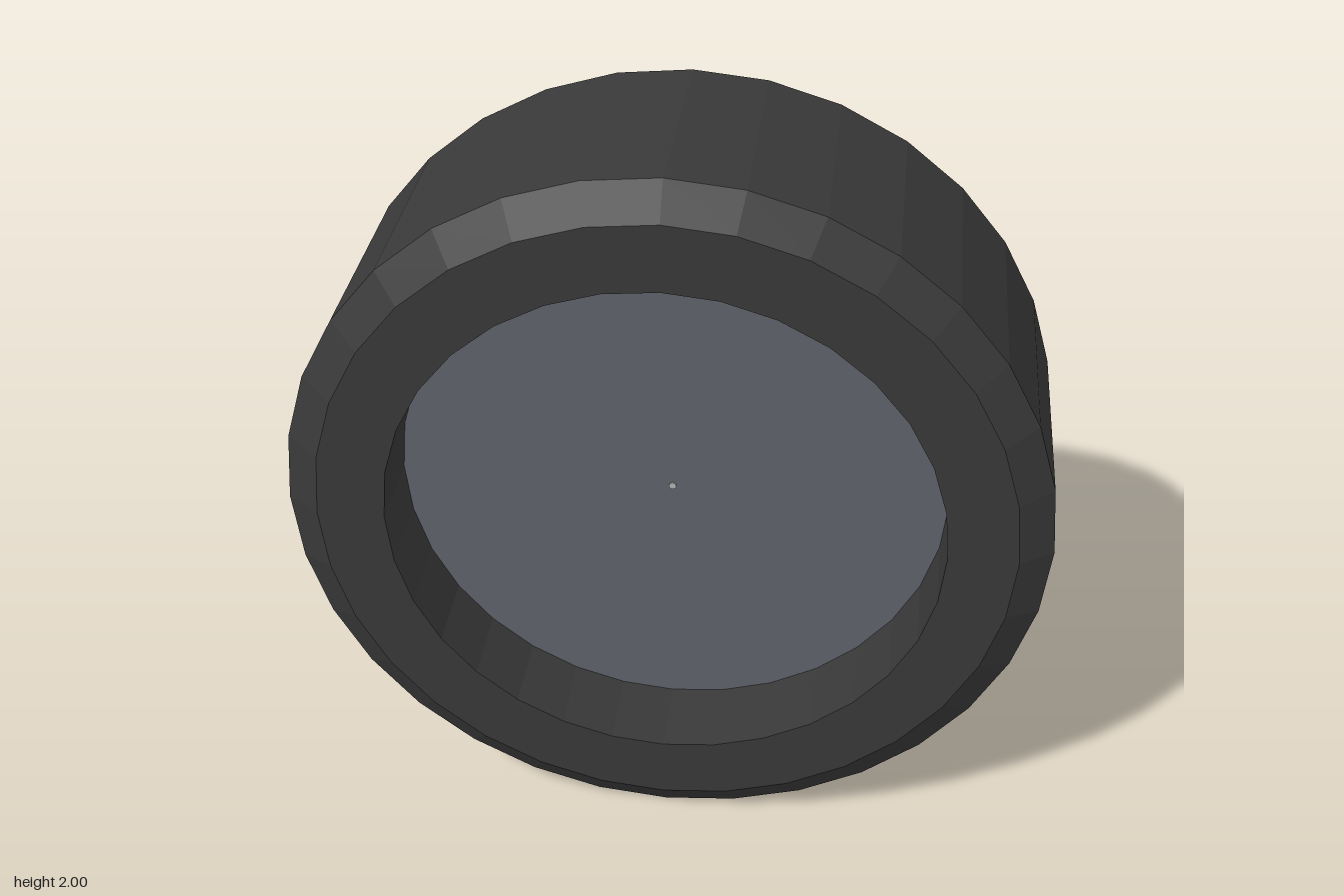
import * as THREE from 'three';

const SIDES = 32;
const SPOKES = 24;

const material = (name, color) => {
  const m = new THREE.MeshStandardMaterial({ color, flatShading: true });
  m.name = name;
  return m;
};

// Revolve [radius, depth toward the back] points around the wheel axis (z)
function turned(name, points, mat, sides = SIDES) {
  const g = new THREE.LatheGeometry(points.map(([r, d]) => new THREE.Vector2(r, d)), sides);
  g.rotateX(-Math.PI / 2);
  const mesh = new THREE.Mesh(g, mat);
  mesh.name = name;
  return mesh;
}

// Radial wedge: [radius, half width, back z, front z] at the inner and outer ends
function wedge(inner, outer) {
  const g = new THREE.BoxGeometry(1, 1, 1);
  const p = g.attributes.position;
  for (let i = 0; i < p.count; i++) {
    const [r, w, back, front] = p.getY(i) < 0 ? inner : outer;
    p.setXYZ(i, Math.sign(p.getX(i)) * w, r, p.getZ(i) < 0 ? back : front);
  }
  g.computeVertexNormals();
  return g;
}

export function createModel() {
  const model = new THREE.Group();
  model.name = 'wheel';
  const rubber = material('rubber', 0x393939);
  const alloy = material('alloy', 0xb4b4b4);
  const plate = material('plate', 0x5f626b);

  const wheel = new THREE.Group();
  wheel.name = 'wheelAssembly';
  wheel.position.y = 1;
  model.add(wheel);

  // Tyre with bevelled shoulders and an open bore
  wheel.add(turned('tyre', [
    [0.73, -0.36], [0.91, -0.36], [1, -0.3], [1, 0.3],
    [0.91, 0.36], [0.737, 0.36], [0.73, -0.36],
  ], rubber));

  // Recessed disc closing the bore, with a small axle tip
  wheel.add(turned('innerDisc', [[0, -0.13], [0.735, -0.13], [0.735, -0.11], [0, -0.11]], plate));
  wheel.add(turned('axleTip', [[0, -0.134], [0.01, -0.134], [0.01, -0.13]], alloy, 12));

  // Outer lip on the back sidewall
  wheel.add(turned('rimLip', [
    [0.742, 0.345], [0.776, 0.345], [0.776, 0.367], [0.742, 0.367], [0.742, 0.345],
  ], alloy));

  // Rim barrel with a stepped inner edge
  wheel.add(turned('rimBarrel', [
    [0.728, -0.11], [0.728, 0.345], [0.7, 0.345], [0.695, 0.325],
    [0.68, 0.32], [0.67, -0.11],
  ], alloy));

  // Tapered spokes, with short lower webs filling the gaps near the rim
  const spokeShape = wedge([0.22, 0.018, -0.215, -0.1], [0.69, 0.06, -0.295, -0.17]);
  const webShape = wedge([0.5, 0.04, -0.15, -0.11], [0.69, 0.06, -0.2, -0.11]);
  for (let i = 0; i < SPOKES; i++) {
    const step = (Math.PI * 2) / SPOKES;
    const spoke = new THREE.Mesh(spokeShape, alloy);
    spoke.name = 'spoke';
    spoke.rotation.z = i * step;
    const web = new THREE.Mesh(webShape, alloy);
    web.name = 'spokeWeb';
    web.rotation.z = (i + 0.5) * step;
    wheel.add(spoke, web);
  }

  // Dished hub plate with a raised edge
  wheel.add(turned('hubPlate', [
    [0, 0.09], [0.25, 0.09], [0.265, 0.22], [0.26, 0.235],
    [0.24, 0.235], [0.232, 0.215], [0, 0.215],
  ], alloy));

  // Tapered centre boss with a recessed cap
  wheel.add(turned('hubBoss', [
    [0.112, 0.2], [0.108, 0.29], [0.1, 0.31], [0.085, 0.31], [0.08, 0.3], [0, 0.3],
  ], alloy));

  return model;
}
